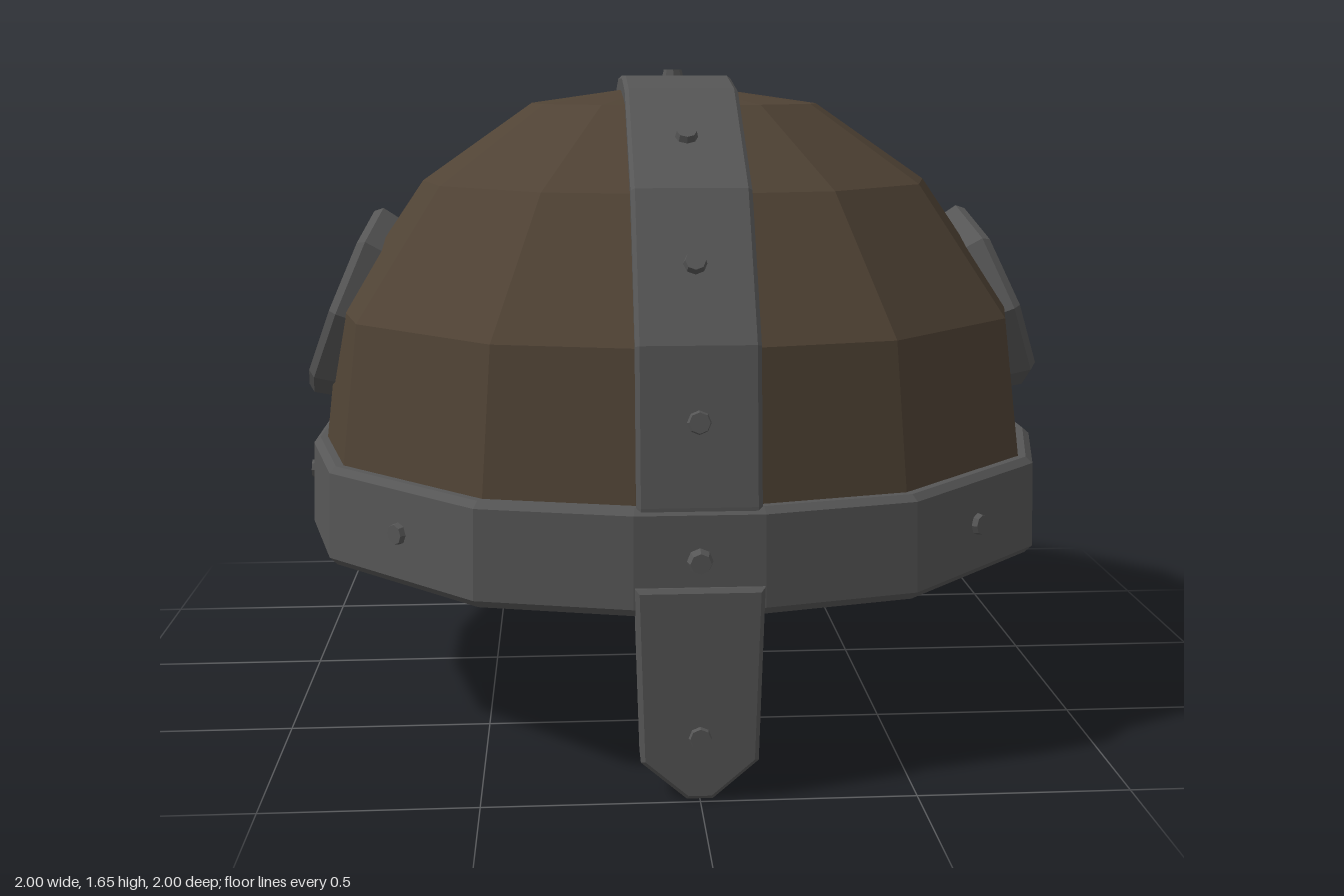
import * as THREE from 'three';

const iron = new THREE.MeshStandardMaterial({ color: 0x565656 });
iron.name = 'dark iron';
const leather = new THREE.MeshStandardMaterial({ color: 0x504335 });
leather.name = 'brown leather';

const v2 = (list) => list.map(([a, b]) => new THREE.Vector2(a, b));

// faceted shading stored in the geometry
function flat(geo) {
  const g = geo.index ? geo.toNonIndexed() : geo;
  g.computeVertexNormals();
  return g;
}

// twelve-sided ring whose four axis corners are cut off, giving 16 sides
function helmetLathe(profile) {
  const geo = new THREE.LatheGeometry(v2(profile), 16);
  const pos = geo.attributes.position;
  const steps = [-8.7, 8.7, 30, 60];
  const n = profile.length;
  for (let i = 0; i < pos.count; i++) {
    const seg = Math.floor(i / n) % 16;
    const r = profile[i % n][0] * (seg % 4 < 2 ? 0.965 : 1);
    const a = THREE.MathUtils.degToRad(steps[seg % 4] + 90 * Math.floor(seg / 4));
    pos.setX(i, r * Math.sin(a));
    pos.setZ(i, r * Math.cos(a));
  }
  return flat(geo);
}

export function createModel() {
  const group = new THREE.Group();
  const add = (name, geo, mat, parent = group) => {
    const mesh = new THREE.Mesh(geo, mat);
    mesh.name = name;
    parent.add(mesh);
    return mesh;
  };

  // domed shell with an outer and an inner skin
  add('dome', helmetLathe([
    [0.92, 0.6], [0.985, 0.6], [0.98, 0.68], [0.935, 1.03], [0.7, 1.36], [0.4, 1.56], [0, 1.615],
    [0, 1.54], [0.37, 1.49], [0.64, 1.31], [0.865, 1.01], [0.92, 0.6],
  ]), leather);

  // brow band
  add('browBand', helmetLathe([
    [0.93, 0.43], [1.005, 0.43], [1.025, 0.45], [1.018, 0.665], [1.0, 0.68], [0.92, 0.68], [0.93, 0.43],
  ]), iron);

  // strap over the crown, drawn from the side and extruded across
  const outer = [[0.967, 0.55], [0.963, 0.68], [0.918, 1.04], [0.7, 1.375], [0.35, 1.6], [0.15, 1.633]];
  const inner = [[0.1, 1.58], [0.32, 1.55], [0.66, 1.34], [0.87, 1.02], [0.92, 0.68], [0.92, 0.55]];
  const mirror = (pts) => pts.map(([z, y]) => [-z, y]).reverse();
  const strapShape = new THREE.Shape(v2([...outer, ...mirror(outer), ...mirror(inner), ...inner]));
  const strapGeo = new THREE.ExtrudeGeometry(strapShape, {
    depth: 0.264, bevelEnabled: true, bevelThickness: 0.01, bevelSize: 0.008, bevelOffset: -0.008, bevelSegments: 1,
  });
  strapGeo.translate(0, 0, -0.132).rotateY(-Math.PI / 2);
  add('crownStrap', flat(strapGeo), iron);

  // nose guard hanging from the front of the band
  const noseShape = new THREE.Shape(v2([
    [-0.03, 0], [0.03, 0], [0.135, 0.09], [0.147, 0.5], [-0.147, 0.5], [-0.135, 0.09],
  ]));
  const noseGeo = new THREE.ExtrudeGeometry(noseShape, {
    depth: 0.08, bevelEnabled: true, bevelThickness: 0.01, bevelSize: 0.01, bevelOffset: -0.01, bevelSegments: 1,
  });
  noseGeo.translate(0, 0, 0.902);
  add('noseGuard', flat(noseGeo), iron);

  // eight-sided rings on both sides
  const ringGeo = flat(new THREE.LatheGeometry(v2([
    [0.205, -0.08], [0.26, -0.08], [0.272, -0.02], [0.255, 0], [0.215, 0], [0.205, -0.015], [0.205, -0.08],
  ]), 8));
  for (const s of [1, -1]) {
    const ring = add(s > 0 ? 'leftSideRing' : 'rightSideRing', ringGeo, iron);
    ring.position.set(0.905 * s, 1.035, 0);
    ring.rotation.z = -s * THREE.MathUtils.degToRad(68);
  }

  // rivets, each pointing along its surface normal
  const rivets = new THREE.Group();
  rivets.name = 'rivets';
  group.add(rivets);
  const rivetGeo = flat(new THREE.CylinderGeometry(0.024, 0.031, 0.03, 8));
  const up = new THREE.Vector3(0, 1, 0);
  const rivet = (name, x, y, z, nx, ny, nz) => {
    const m = add(name, rivetGeo, iron, rivets);
    m.position.set(x, y, z);
    m.quaternion.setFromUnitVectors(up, new THREE.Vector3(nx, ny, nz).normalize());
  };
  for (let i = 0; i < 8; i++) {
    const a = i * Math.PI / 4;
    const x = Math.sin(a), z = Math.cos(a);
    rivet('bandRivet', x * 0.985, 0.56, z * 0.985, x, 0, z);
  }
  for (const s of [1, -1]) {
    rivet('strapRivet', 0, 0.87, 0.94 * s, 0, 0.125, s);
    rivet('strapRivet', 0, 1.212, 0.808 * s, 0, 0.65, s);
    rivet('strapRivet', 0, 1.488, 0.527 * s, 0, 1, 0.64 * s);
  }
  rivet('crownRivet', 0, 1.634, 0, 0, 1, 0);
  rivet('noseRivet', 0, 0.15, 0.988, 0, 0, 1);

  return group;
}
